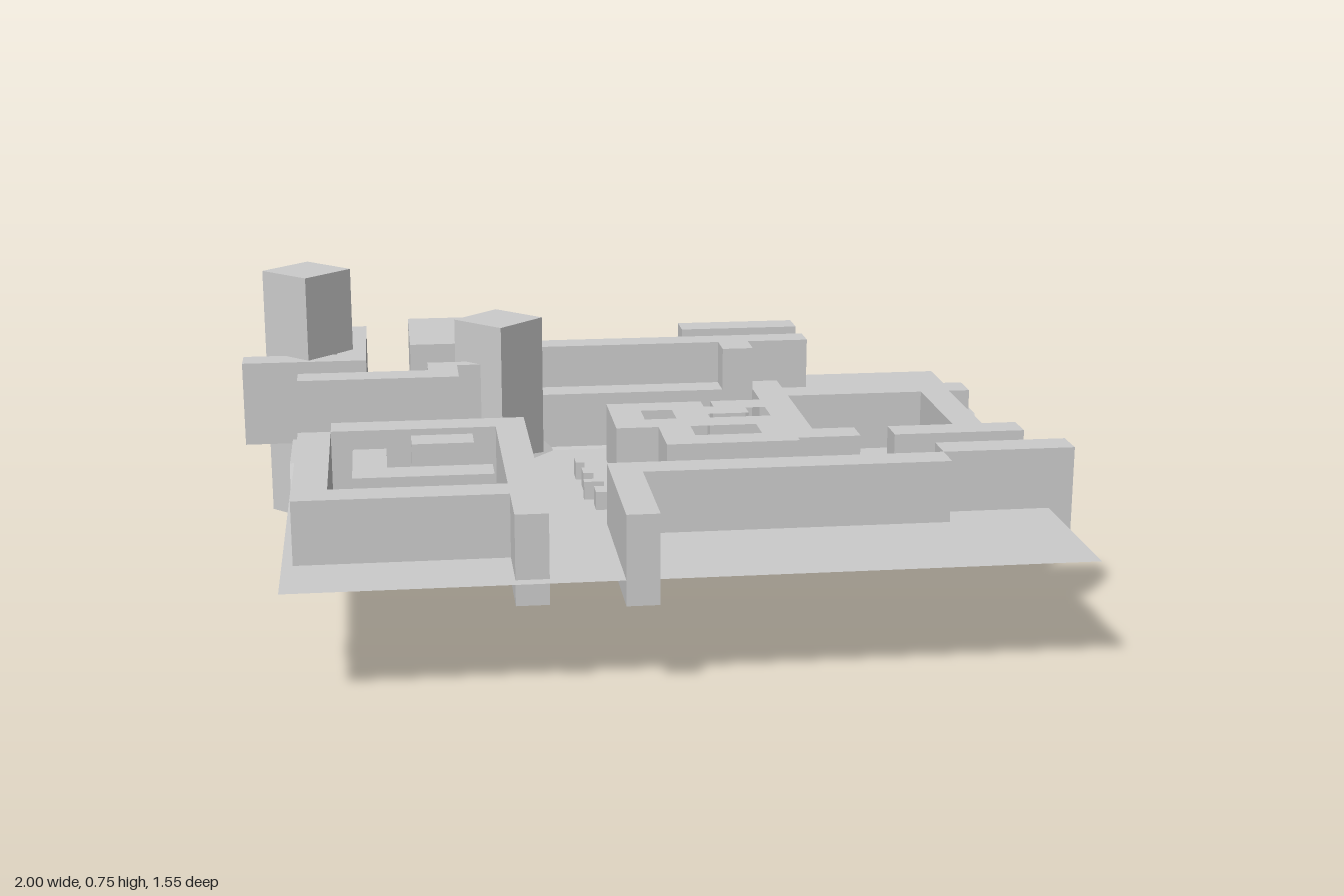
import * as THREE from 'three';

export function createModel() {
  const model = new THREE.Group();
  const grey = new THREE.MeshStandardMaterial({ color: 0xcccccc, flatShading: true });
  const thin = new THREE.MeshStandardMaterial({ color: 0xcccccc, flatShading: true, side: THREE.DoubleSide });

  const add = (name, geometry, material = grey) => {
    const mesh = new THREE.Mesh(geometry, material);
    mesh.name = name;
    model.add(mesh);
    return mesh;
  };

  // Extrude a plan outline of [x, z] points, with holes, between two heights
  const wall = (name, y0, y1, outline, holes = []) => {
    const points = (list) => list.map(([x, z]) => new THREE.Vector2(x, -z));
    const shape = new THREE.Shape(points(outline));
    holes.forEach((h) => shape.holes.push(new THREE.Path(points(h))));
    const g = new THREE.ExtrudeGeometry(shape, { depth: y1 - y0, bevelEnabled: false });
    g.rotateX(-Math.PI / 2).translate(0, y0, 0);
    return add(name, g);
  };
  const rect = (x0, x1, z0, z1) => [[x0, z0], [x1, z0], [x1, z1], [x0, z1]];
  const lower = (name, outline, holes) => wall(name, 0.22, 0.43, outline, holes);
  const upper = (name, outline) => wall(name, 0.325, 0.54, outline);

  // Ground: raised rear terrace, steep bank, lower front terrace
  const stations = [ // x and z of bank top, x and z of bank foot
    [-0.88, -0.04, -0.88, 0], [-0.44, -0.04, -0.42, 0], [-0.365, -0.135, -0.34, -0.105],
    [-0.235, -0.305, -0.205, -0.27], [0.94, -0.305, 0.94, -0.27],
  ];
  const positions = [];
  const index = [];
  stations.forEach(([tx, tz, fx, fz], i) => {
    positions.push(tx, 0.335, -0.78, tx, 0.335, tz, fx, 0.28, fz, fx, 0.28, 0.775);
    if (i === 0) return;
    for (let k = 0; k < 3; k++) {
      const a = (i - 1) * 4 + k, b = i * 4 + k;
      index.push(a, a + 1, b, b, a + 1, b + 1);
    }
  });
  const ground = new THREE.BufferGeometry();
  ground.setAttribute('position', new THREE.Float32BufferAttribute(positions, 3));
  ground.setIndex(index);
  const groundFlat = ground.toNonIndexed();
  groundFlat.computeVertexNormals();
  add('ground', groundFlat, thin);

  // Square towers turned 45 degrees
  [['gateTower', -0.345, -0.242, 0, 0.645], ['cornerTower', -0.832, -0.386, 0.11, 0.755]].forEach(([name, x, z, y0, y1]) => {
    const tower = add(name, new THREE.BoxGeometry(0.159, y1 - y0, 0.159));
    tower.position.set(x, (y0 + y1) / 2, z);
    tower.rotation.y = Math.PI / 4;
  });
  const knob = add('knob', new THREE.SphereGeometry(0.011, 10, 8));
  knob.position.set(-0.287, 0.333, -0.187);

  // Walls on the rear terrace
  upper('rearCornerWall', [[-1, -0.335], [-0.76, -0.335], [-0.76, -0.66], [-0.685, -0.66], [-0.685, -0.26], [-1, -0.26]]);
  upper('rearBlock', rect(-0.57, -0.41, -0.74, -0.42));
  upper('towerWall', [[-0.855, -0.135], [-0.53, -0.135], [-0.53, -0.215], [-0.36, -0.215], [-0.36, -0.18],
    [-0.455, -0.18], [-0.455, -0.06], [-0.855, -0.06]]);
  upper('rearLongWall', [[-0.31, -0.595], [-0.24, -0.595], [-0.24, -0.43], [0.485, -0.43], [0.485, -0.355],
    [0.325, -0.355], [0.325, -0.275], [0.245, -0.275], [0.245, -0.355], [-0.31, -0.355]]);
  upper('rearSmallBlock', rect(0.17, 0.485, -0.595, -0.515));

  // Square courtyard with its inner hook and block
  lower('courtyardLeftWall', [[-0.855, 0.022], [-0.775, 0.022], [-0.775, 0.51], [-0.37, 0.51], [-0.37, 0.59], [-0.855, 0.59]]);
  lower('courtyardTopWall', rect(-0.775, -0.37, -0.06, 0.022));
  lower('courtyardSideWall', rect(-0.37, -0.295, -0.06, 0.745));
  lower('courtyardHook', [[-0.72, 0.19], [-0.64, 0.19], [-0.64, 0.35], [-0.395, 0.35], [-0.395, 0.43], [-0.72, 0.43]]);
  lower('courtyardBlock', rect(-0.58, -0.43, 0.08, 0.16));

  // Retaining wall along the bank
  lower('retainingWall', rect(-0.24, 0.405, -0.355, -0.275));

  // Central hall with light wells, joined to the walled room on its side
  lower('centralHall', [
    [-0.075, -0.16], [0.17, -0.16], [0.17, -0.107], [0.195, -0.107], [0.195, -0.16], [0.325, -0.16],
    [0.325, -0.275], [0.89, -0.275], [0.89, -0.19], [0.835, -0.19], [0.835, 0.135], [0.92, 0.135],
    [0.92, 0.212], [0.595, 0.212], [0.595, 0.135], [0.76, 0.135], [0.76, -0.19], [0.405, -0.19],
    [0.405, 0.135], [0.51, 0.135], [0.51, 0.212], [0.355, 0.212], [0.355, 0.235], [0.03, 0.235],
    [0.03, 0.075], [-0.075, 0.075],
  ], [
    rect(0.005, 0.085, -0.085, 0),
    rect(0.11, 0.275, 0.075, 0.16),
    [[0.17, -0.035], [0.275, -0.035], [0.275, -0.085], [0.325, -0.085], [0.325, 0], [0.17, 0]],
  ]);

  // Front wall stepping out at both ends
  lower('frontWall', [[-0.13, 0.375], [0.675, 0.375], [0.675, 0.295], [0.997, 0.295], [0.997, 0.375],
    [0.675, 0.376], [0.675, 0.455], [-0.055, 0.455], [-0.055, 0.775], [-0.13, 0.775]]);

  // Low stones in the passage
  [[-0.17, -0.148, -0.045, 0.005], [-0.16, -0.135, 0.05, 0.1], [-0.165, -0.117, 0.15, 0.175],
    [-0.145, -0.117, 0.213, 0.262], [-0.06, -0.036, 0.177, 0.225]].forEach((r) => {
    wall('passageStone', 0.22, 0.325, rect(...r));
  });

  return model;
}
